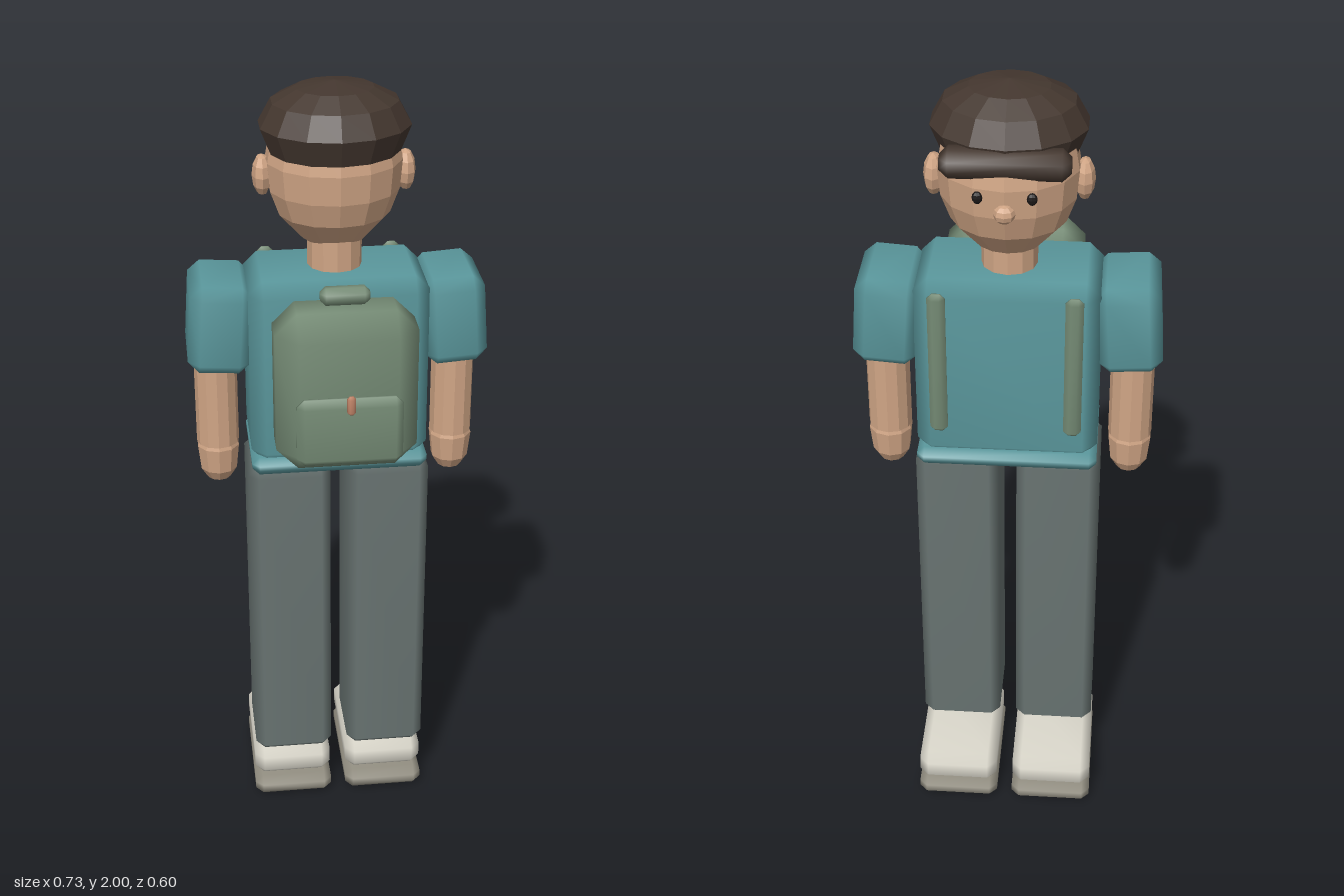
import * as THREE from 'three';
import { mergeVertices } from 'three/addons/utils/BufferGeometryUtils.js';
import { ConvexGeometry } from 'three/addons/geometries/ConvexGeometry.js';

const paint = (name, color) => {
  const m = new THREE.MeshStandardMaterial({ color });
  m.name = name;
  return m;
};

// Box with every edge cut by one chamfer and softly shaded
function chamferBox(w, h, d, c) {
  const points = [];
  for (const sx of [-1, 1]) for (const sy of [-1, 1]) for (const sz of [-1, 1]) {
    for (let axis = 0; axis < 3; axis++) {
      const half = [w / 2, h / 2, d / 2].map((v, i) => (i === axis ? v : v - c));
      points.push(new THREE.Vector3(sx * half[0], sy * half[1], sz * half[2]));
    }
  }
  let geo = new ConvexGeometry(points);
  geo.deleteAttribute('normal');
  geo = mergeVertices(geo, 1e-5);
  geo.computeVertexNormals();
  return geo;
}

// Give a geometry faceted normals
function faceted(geo) {
  const flat = geo.index ? geo.toNonIndexed() : geo;
  flat.computeVertexNormals();
  return flat;
}

// Faceted turned shape from [radius, y] pairs, listed from bottom to top
const turned = (profile, sides, zScale = 1) =>
  faceted(new THREE.LatheGeometry(profile.map(p => new THREE.Vector2(...p)), sides).scale(1, 1, zScale));

const ball = (rx, ry, rz, across = 8, down = 6) =>
  faceted(new THREE.SphereGeometry(1, across, down).scale(rx, ry, rz));

export function createModel() {
  const model = new THREE.Group();
  model.name = 'student';

  const skin = paint('skin', 0xd0a585);
  const hairBrown = paint('dark brown hair', 0x44372f);
  const teal = paint('teal cloth', 0x5a979c);
  const grey = paint('grey trousers', 0x687371);
  const green = paint('green canvas', 0x748a74);
  const cream = paint('cream shoe', 0xdad7cb);
  const soleGrey = paint('sole grey', 0x938f82);
  const copper = paint('copper', 0xc08468);
  const black = paint('eye black', 0x1c1817);

  const add = (name, geo, mat, x, y, z) => {
    const mesh = new THREE.Mesh(geo, mat);
    mesh.name = name;
    mesh.position.set(x, y, z);
    model.add(mesh);
    return mesh;
  };

  // Torso
  add('shirt', chamferBox(0.435, 0.48, 0.265, 0.035), teal, 0, 1.31, -0.058);
  add('shirtHem', chamferBox(0.436, 0.048, 0.272, 0.018), teal, 0, 1.067, -0.06);

  // Head and neck
  add('neck', faceted(new THREE.CylinderGeometry(0.066, 0.066, 0.14, 12)), skin, 0, 1.59, -0.063);
  const headProfile = [[0, 1.612], [0.078, 1.617], [0.135, 1.68], [0.157, 1.74],
    [0.163, 1.81], [0.15, 1.88], [0.1, 1.94], [0, 1.96]];
  add('head', turned(headProfile, 14, 0.92), skin, 0, 0, -0.076);
  add('nose', ball(0.025, 0.022, 0.022), skin, 0, 1.757, -0.225);

  // Hair cap and fringe
  const hairProfile = [[0, 1.837], [0.155, 1.837], [0.18, 1.9], [0.15, 1.955], [0.092, 1.985], [0, 2]];
  add('hair', turned(hairProfile, 14, 0.86), hairBrown, 0, 0, -0.055);
  add('fringe', chamferBox(0.288, 0.066, 0.07, 0.02), hairBrown, 0, 1.862, -0.19);

  // Backpack
  add('backpack', chamferBox(0.336, 0.4, 0.18, 0.052), green, 0, 1.335, 0.162);
  add('pocket', chamferBox(0.25, 0.17, 0.042, 0.018), green, 0, 1.263, 0.264);
  add('packHandle', chamferBox(0.116, 0.042, 0.042, 0.013), green, 0, 1.558, 0.155);
  add('zipPull', chamferBox(0.02, 0.046, 0.018, 0.006), copper, 0, 1.342, 0.291);

  // Mirrored parts
  const ear = ball(0.024, 0.05, 0.04);
  const eye = ball(0.012, 0.015, 0.01);
  const sleeve = chamferBox(0.152, 0.222, 0.23, 0.028);
  const arm = faceted(new THREE.CylinderGeometry(0.053, 0.053, 0.28, 12));
  const hand = turned([[0, 0.98], [0.03, 0.982], [0.047, 1.01], [0.054, 1.075], [0.048, 1.095], [0, 1.1]], 10);
  const strap = chamferBox(0.042, 0.375, 0.028, 0.012);
  const leg = chamferBox(0.205, 0.88, 0.222, 0.024);
  const shoe = chamferBox(0.207, 0.088, 0.322, 0.024);
  const sole = chamferBox(0.21, 0.06, 0.338, 0.02);
  for (const [side, s] of [['left', 1], ['right', -1]]) {
    add(side + 'Ear', ear, skin, s * 0.17, 1.775, -0.073);
    add(side + 'Eye', eye, black, s * 0.06, 1.79, -0.214);
    add(side + 'Sleeve', sleeve, teal, s * 0.283, 1.423, -0.061).rotation.z = s * 0.07;
    add(side + 'Arm', arm, skin, s * 0.296, 1.225, -0.063);
    add(side + 'Hand', hand, skin, s * 0.296, 0, -0.063);
    add(side + 'Strap', strap, green, s * 0.158, 1.352, -0.208);
    add(side + 'Leg', leg, grey, s * 0.124, 0.61, -0.053);
    add(side + 'Shoe', shoe, cream, s * 0.125, 0.102, -0.137);
    add(side + 'Sole', sole, soleGrey, s * 0.125, 0.03, -0.129);
  }

  return model;
}
